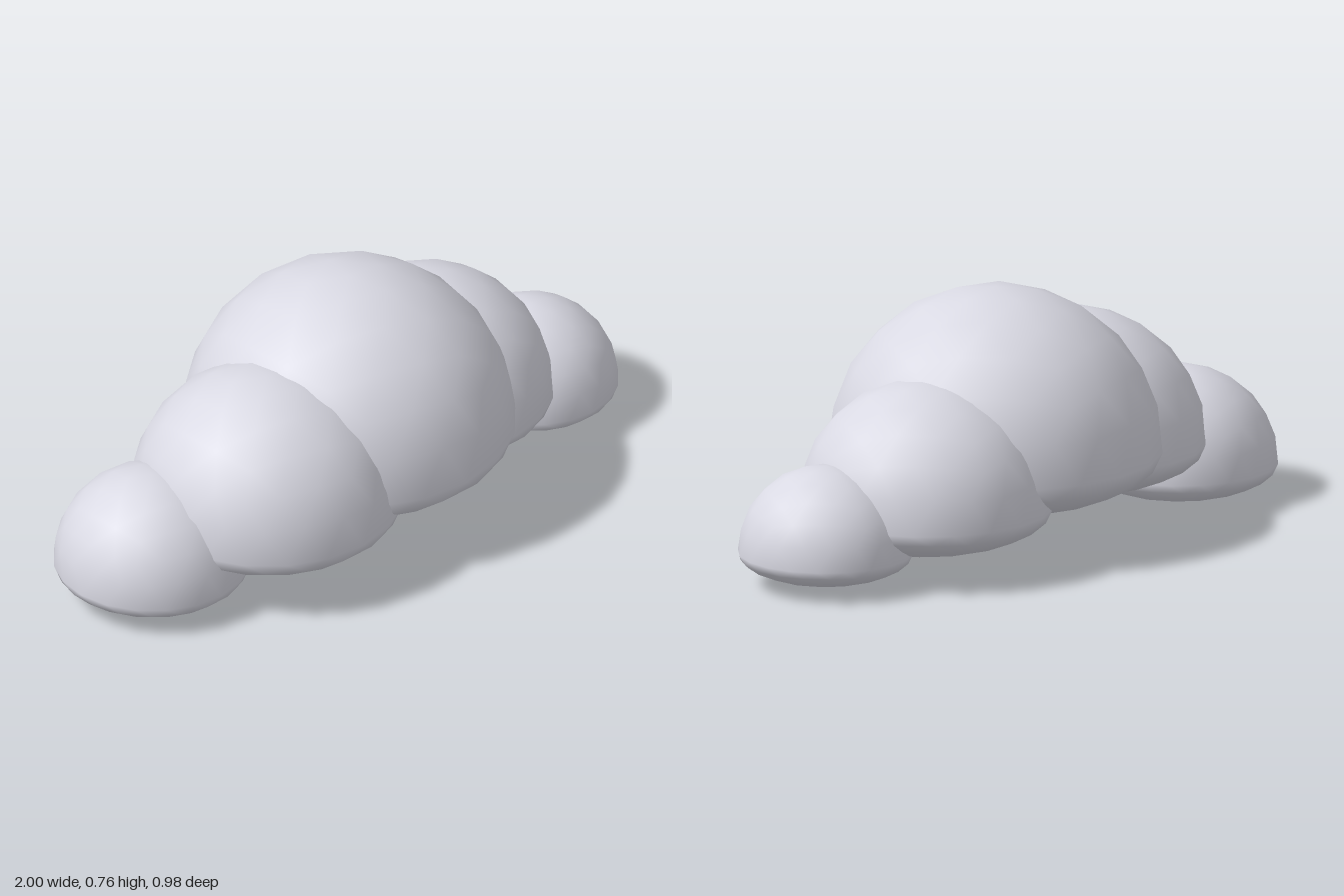
import * as THREE from 'three';
import { mergeVertices } from 'three/addons/utils/BufferGeometryUtils.js';

// Smooth ball whose underside is squashed to a third of its depth
function puffGeometry() {
  let geo = new THREE.IcosahedronGeometry(1, 3);
  geo.deleteAttribute('uv');
  geo.deleteAttribute('normal');
  geo = mergeVertices(geo, 1e-4);
  geo.rotateZ(-Math.atan(2 / (1 + Math.sqrt(5)))); // a vertex at the top
  const pos = geo.attributes.position;
  for (let i = 0; i < pos.count; i++) {
    if (pos.getY(i) < 0) pos.setY(i, pos.getY(i) * 0.333);
  }
  geo.computeVertexNormals();
  return geo;
}

export function createModel() {
  const model = new THREE.Group();
  model.name = 'cloud';
  const cloudGrey = new THREE.MeshStandardMaterial({ color: 0xd9d9e3 });
  cloudGrey.name = 'cloudGrey';
  const geo = puffGeometry();

  // name, centre x, y, z, radius
  const puffs = [
    ['centrePuff', 0.03, 0.273, 0, 0.488],
    ['rightInnerPuff', -0.355, 0.213, 0.053, 0.4],
    ['leftInnerPuff', 0.4, 0.188, -0.057, 0.373],
    ['rightOuterPuff', -0.715, 0.1, -0.055, 0.288],
    ['leftOuterPuff', 0.742, 0.102, 0.027, 0.256],
  ];
  for (const [name, x, y, z, r] of puffs) {
    const puff = new THREE.Mesh(geo, cloudGrey);
    puff.name = name;
    puff.position.set(x, y, z);
    puff.scale.setScalar(r);
    model.add(puff);
  }
  return model;
}
